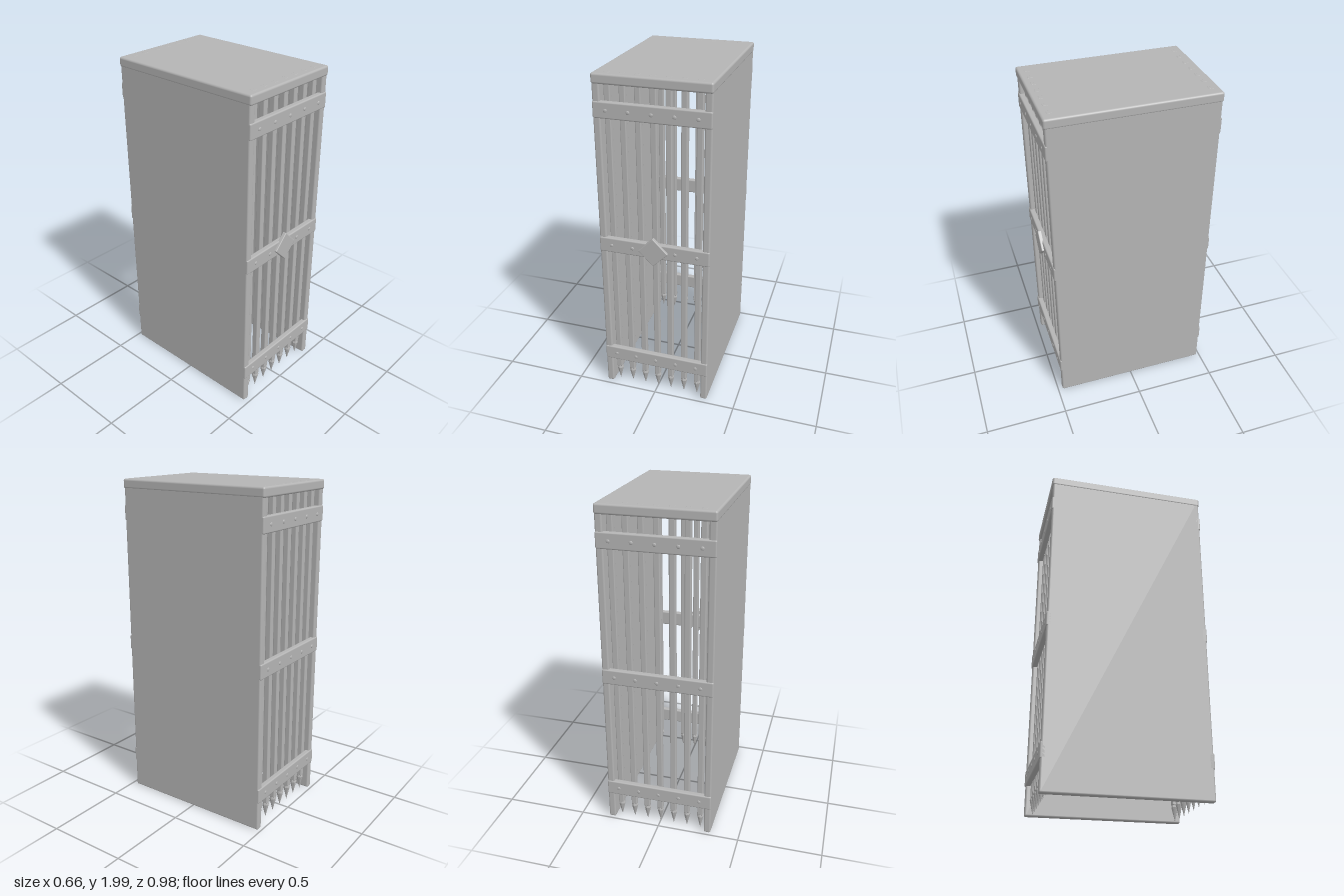
import * as THREE from 'three';
import { RoundedBoxGeometry } from 'three/addons/geometries/RoundedBoxGeometry.js';

const iron = new THREE.MeshStandardMaterial({ color: 0xb4b4b4 });
iron.name = 'grey iron';

// Adds a named mesh at a position.
function add(parent, name, geometry, x, y, z) {
  const mesh = new THREE.Mesh(geometry, iron);
  mesh.name = name;
  mesh.position.set(x, y, z);
  parent.add(mesh);
  return mesh;
}

// Low-poly spear point hanging below a bar.
function spikeGeometry() {
  const profile = [[0, 0.013], [0.021, 0.1], [0.016, 0.118], [0, 0.118]];
  const lathe = new THREE.LatheGeometry(profile.map(([r, y]) => new THREE.Vector2(r, y)), 8);
  const flat = lathe.toNonIndexed();
  flat.computeVertexNormals();
  return flat;
}

// One gate, facing +z: bars with spear points, three bands, rivets.
function createGate() {
  const gate = new THREE.Group();
  const bar = new RoundedBoxGeometry(0.034, 1.887, 0.034, 2, 0.0055);
  const spike = spikeGeometry();
  for (let i = -3; i <= 3; i++) {
    add(gate, 'bar', bar, i * 0.0843, 1.0565, 0.4335);
    add(gate, 'spike', spike, i * 0.0843, 0, 0.4335);
  }
  const band = new RoundedBoxGeometry(0.652, 0.092, 0.034, 2, 0.008);
  const rivet = new THREE.SphereGeometry(0.011, 10, 6, 0, Math.PI * 2, 0, Math.PI / 2);
  rivet.rotateX(Math.PI / 2).scale(1, 1, 0.4);
  for (const y of [0.237, 1.005, 1.805]) {
    add(gate, 'band', band, 0, y, 0.465);
    for (let i = -2; i <= 2; i++) add(gate, 'rivet', rivet, i * 0.1265, y, 0.482);
  }
  return gate;
}

export function createModel() {
  const model = new THREE.Group();
  model.name = 'gatePassage';
  const body = new THREE.Group();
  body.name = 'body';
  body.position.z = -0.006;
  model.add(body);

  // Side walls and roof slab
  const wall = new RoundedBoxGeometry(0.042, 1.97, 0.954, 2, 0.01);
  add(body, 'leftWall', wall, 0.305, 0.998, 0);
  add(body, 'rightWall', wall, -0.305, 0.998, 0);
  add(body, 'roof', new RoundedBoxGeometry(0.656, 0.057, 0.966, 3, 0.012), 0, 1.9705, 0);

  // Matching gates at both ends
  const front = createGate();
  front.name = 'frontGate';
  const back = createGate();
  back.name = 'backGate';
  back.rotation.y = Math.PI;
  body.add(front, back);

  // Diamond boss on the front middle band
  const boss = add(model, 'diamondBoss', new RoundedBoxGeometry(0.125, 0.125, 0.024, 2, 0.005), 0, 1.005, 0.478);
  boss.rotation.z = Math.PI / 4;
  return model;
}
